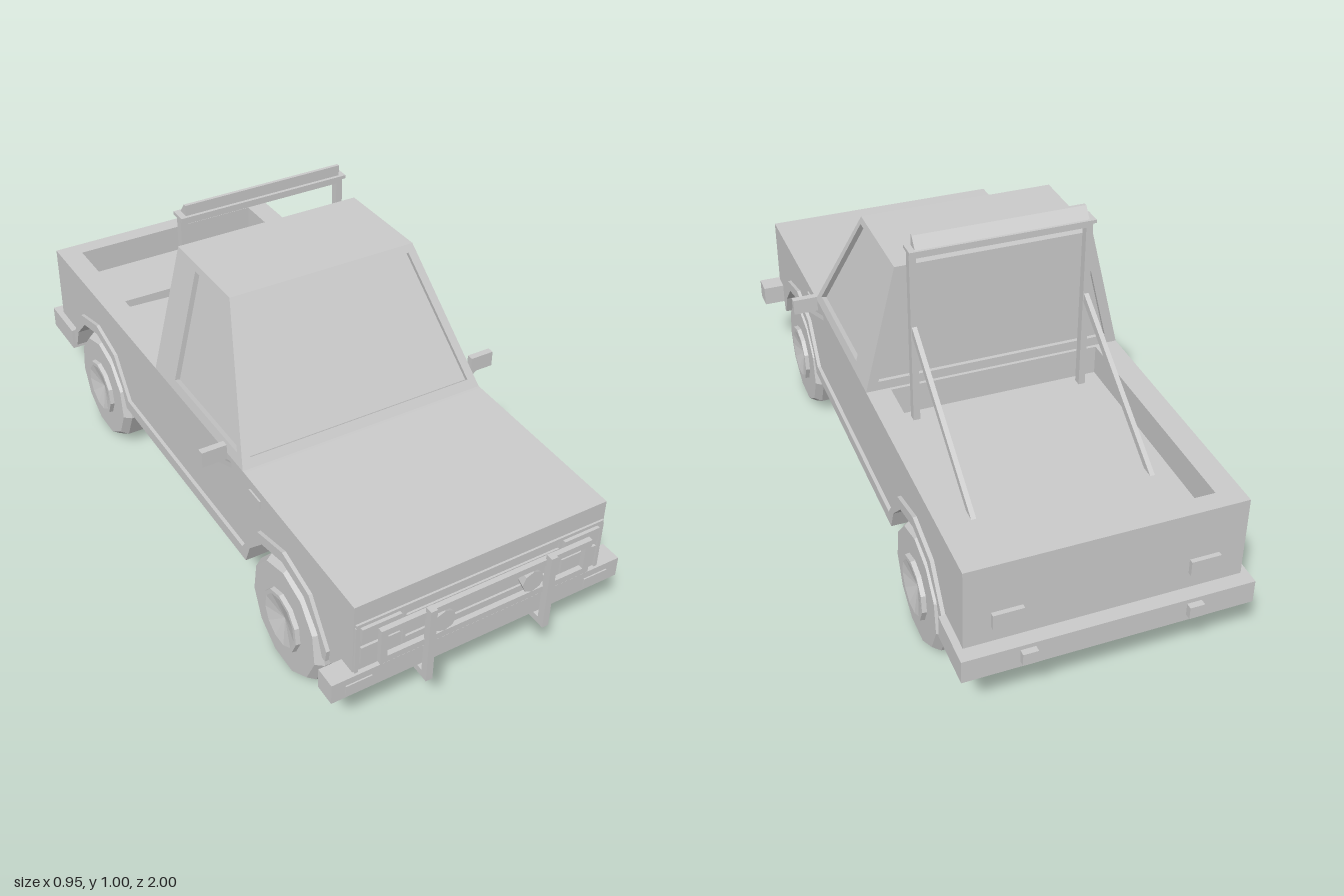
import * as THREE from 'three';

const mat = new THREE.MeshStandardMaterial({ color: 0xcccccc, flatShading: true, side: THREE.DoubleSide });

export function createModel() {
  const root = new THREE.Group();
  const add = (name, geo) => {
    const m = new THREE.Mesh(geo, mat);
    m.name = name;
    root.add(m);
    return m;
  };
  // Box given by its limits on each axis
  const box = (name, x0, x1, y0, y1, z0, z1) =>
    add(name, new THREE.BoxGeometry(x1 - x0, y1 - y0, z1 - z0)
      .translate((x0 + x1) / 2, (y0 + y1) / 2, (z0 + z1) / 2));
  const pair = (name, x0, x1, ...r) => {
    box('left' + name, x0, x1, ...r);
    box('right' + name, -x1, -x0, ...r);
  };
  // Side profile of [z, y] points, extruded from x0 to x1
  const slab = (name, pts, x0, x1) => {
    const shape = new THREE.Shape(pts.map(p => new THREE.Vector2(...p)));
    const g = new THREE.ExtrudeGeometry(shape, { depth: x1 - x0, bevelEnabled: false });
    return add(name, g.rotateY(-Math.PI / 2).translate(x1, 0, 0));
  };
  const slabPair = (name, pts, x0, x1) => {
    slab('left' + name, pts, x0, x1);
    slab('right' + name, pts, -x1, -x0);
  };

  // Wheel arch, running from front to back around an axle
  const FRONT = 0.62, REAR = -0.595;
  const arch = (half, c) => [...half, ...half.slice(0, -1).reverse().map(([z, y]) => [-z, y])]
    .map(([z, y]) => [c + z, y]);
  const inner = [[0.205, 0.225], [0.18, 0.29], [0.11, 0.36], [0, 0.387]];
  const outer = [[0.225, 0.262], [0.135, 0.385], [0, 0.42]];
  const underside = [[0.95, 0.225], ...arch(inner, FRONT), ...arch(inner, REAR), [-0.94, 0.225]];

  // Body: two flanks and a centre with the sunken load bed
  slabPair('Flank', [...underside, [-0.94, 0.52], [0.4, 0.52], [0.95, 0.505]], 0.315, 0.385);
  slab('bodyCentre', [...underside, [-0.94, 0.52], [-0.885, 0.52], [-0.885, 0.43],
    [-0.165, 0.43], [-0.165, 0.52], [0.4, 0.52], [0.95, 0.505]], -0.315, 0.315);

  // Arch flares joined by the sill strip
  slabPair('FlareAndSill', [
    [FRONT + 0.22, 0.225], ...arch(outer, FRONT), ...arch(outer, REAR), [REAR - 0.22, 0.225],
    ...[...arch(inner, FRONT), ...arch(inner, REAR)].reverse()
  ], 0.383, 0.396);

  // Cab: tapered shell with sunken glass in each wall
  const sideX = y => 0.385 - (y - 0.52) * 0.247;
  const frontZ = y => 0.39 - (y - 0.52) * 0.61;
  const quads = (name, list) => {
    const v = [];
    for (const [a, b, c, d] of list) v.push(...a, ...b, ...c, ...a, ...c, ...d);
    const g = new THREE.BufferGeometry();
    g.setAttribute('position', new THREE.Float32BufferAttribute(v, 3));
    g.computeVertexNormals();
    return add(name, g);
  };
  const wall = (name, edge, opening, push) => {
    const sunk = opening.map(p => p.map((n, k) => n + push[k]));
    const frame = [];
    for (let i = 0; i < 4; i++) {
      const j = (i + 1) % 4;
      frame.push([edge[i], edge[j], opening[j], opening[i]], [opening[i], opening[j], sunk[j], sunk[i]]);
    }
    quads(name + 'Frame', frame);
    quads(name + 'Glass', [sunk]);
  };
  const LO = 0.52, HI = 0.905, BACK = -0.155;
  const screen = (lo, hi, inset, z) => [
    [-sideX(lo) + inset, lo, z(lo)], [sideX(lo) - inset, lo, z(lo)],
    [sideX(hi) - inset, hi, z(hi)], [-sideX(hi) + inset, hi, z(hi)]];
  wall('windscreen', screen(LO, HI, 0, frontZ), screen(0.545, 0.885, 0.025, frontZ), [0, -0.006, -0.01]);
  const flip = q => [q[1], q[0], q[3], q[2]];
  const backZ = () => BACK;
  wall('rearWindow', flip(screen(LO, HI, 0, backZ)), flip(screen(0.548, 0.885, 0.03, backZ)), [0, 0, 0.012]);
  for (const s of [1, -1]) {
    const p = (y, z) => [s * sideX(y), y, z];
    const order = q => (s > 0 ? q : flip(q));
    wall(s > 0 ? 'leftDoor' : 'rightDoor',
      order([p(LO, frontZ(LO)), p(LO, BACK), p(HI, BACK), p(HI, frontZ(HI))]),
      order([p(0.55, 0.345), p(0.55, -0.035), p(0.885, -0.04), p(0.885, 0.148)]),
      [-s * 0.015, -0.004, 0]);
  }
  const rx = sideX(HI);
  quads('roof', [[[-rx, HI, frontZ(HI)], [rx, HI, frontZ(HI)], [rx, HI, BACK], [-rx, HI, BACK]]]);

  // Wheels: eleven-sided, with a dished hub on the outer side
  const tyre = [[0, 0.265], [0.18, 0.265], [0.18, 0.37], [0.165, 0.393], [0.092, 0.393],
    [0.09, 0.406], [0.078, 0.406], [0, 0.388]].map(p => new THREE.Vector2(...p));
  for (const [label, z] of [['front', FRONT], ['rear', REAR]]) {
    for (const s of [1, -1]) {
      const g = new THREE.LatheGeometry(tyre, 11);
      g.rotateZ(-Math.PI / 2).rotateX(Math.PI / 2);
      if (s < 0) g.rotateY(Math.PI);
      // Turn so that a corner points straight up
      const pos = g.attributes.position;
      const up = Math.atan2(pos.getZ(1), pos.getY(1));
      g.rotateX(-up);
      add(label + (s > 0 ? 'Left' : 'Right') + 'Wheel', g.translate(0, 0.18, z));
    }
  }

  // Bumpers with lamps and rear knobs
  box('frontBumper', -0.452, 0.452, 0.222, 0.285, 0.9, 0.963);
  pair('BumperLamp', 0.335, 0.412, 0.237, 0.264, 0.96, 0.967);
  box('rearBumper', -0.405, 0.405, 0.205, 0.275, -0.982, -0.815);
  pair('RearKnob', 0.208, 0.25, 0.225, 0.262, -1, -0.98);
  pair('TailLamp', 0.228, 0.312, 0.325, 0.37, -0.953, -0.935);

  // Nose: raised surround, grille slats and stacked headlamps
  box('grilleTop', -0.38, 0.38, 0.437, 0.447, 0.94, 0.956);
  pair('GrilleEnd', 0.372, 0.382, 0.285, 0.437, 0.94, 0.956);
  pair('GrilleDivider', 0.236, 0.244, 0.285, 0.437, 0.94, 0.956);
  for (const y of [0.298, 0.328, 0.365, 0.402]) box('grilleSlat', -0.236, 0.236, y, y + 0.01, 0.94, 0.956);
  pair('UpperHeadlamp', 0.252, 0.366, 0.385, 0.43, 0.94, 0.96);
  pair('LowerHeadlamp', 0.252, 0.366, 0.31, 0.365, 0.94, 0.957);

  // Bull bar: hoop, two posts folding under the nose, round lamps
  for (const y of [0.311, 0.403]) box('bullBarRail', -0.325, 0.325, y, y + 0.02, 0.967, 0.982);
  pair('BullBarEnd', 0.305, 0.325, 0.331, 0.403, 0.967, 0.982);
  pair('BullBarPost', 0.175, 0.195, 0.195, 0.438, 0.978, 1);
  pair('BullBarFoot', 0.175, 0.195, 0.195, 0.217, 0.82, 0.978);
  for (const s of [1, -1]) {
    add('fogLamp', new THREE.CylinderGeometry(0.034, 0.026, 0.03, 8)
      .rotateX(Math.PI / 2).translate(s * 0.137, 0.366, 0.968));
  }
  slab('skidPlate', [[0.8, 0.178], [0.815, 0.178], [0.94, 0.222], [0.9, 0.23], [0.8, 0.192]], -0.115, 0.115);

  // Mirrors on slanted arms, and side markers
  for (const s of [1, -1]) {
    const arm = new THREE.BoxGeometry(0.012, 0.07, 0.014).rotateZ(-s * 0.8);
    add('mirrorArm', arm.translate(s * 0.402, 0.51, 0.318));
  }
  pair('Mirror', 0.4, 0.474, 0.526, 0.574, 0.31, 0.33);
  pair('SideMarker', 0.38, 0.39, 0.465, 0.49, 0.43, 0.49);

  // Roll bar with braces and a wedge-shaped lamp bar
  pair('RollBarPost', 0.245, 0.265, 0.43, 0.965, -0.208, -0.184);
  box('rollBarTop', -0.265, 0.265, 0.95, 0.974, -0.208, -0.184);
  box('lampShelf', -0.268, 0.268, 0.968, 0.978, -0.223, -0.17);
  slab('lampBar', [[-0.18, 0.978], [-0.18, 1.01], [-0.19, 1.01], [-0.215, 0.978]], -0.25, 0.25);
  slabPair('RollBarBrace', [[-0.2, 0.745], [-0.2, 0.717], [-0.63, 0.43], [-0.668, 0.43]], 0.248, 0.262);

  return root;
}
